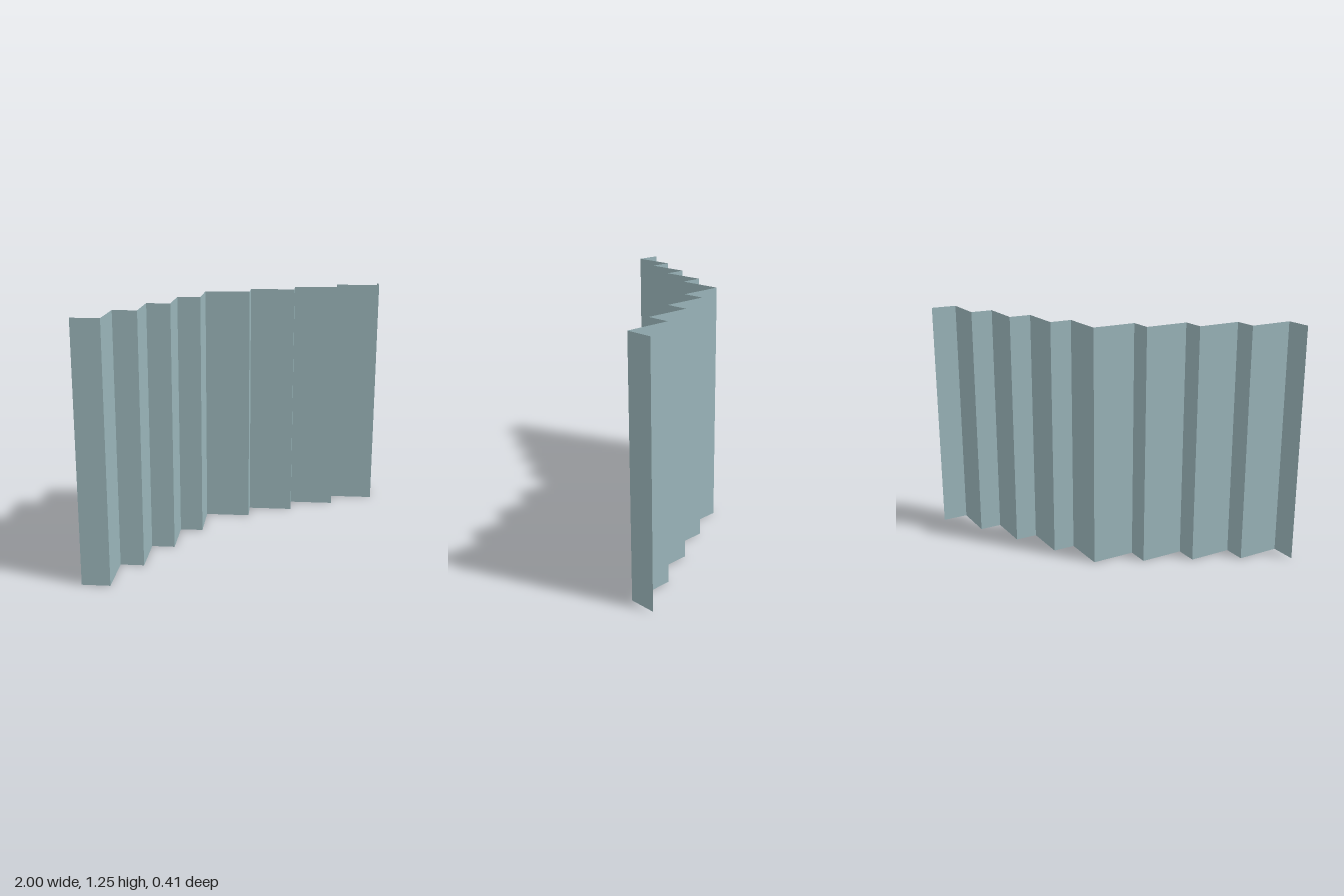
import * as THREE from 'three';

const HEIGHT = 1.25;
const FOLD = 0.0822; // short fold depth; long folds are twice this
const END = 1 - 11 * FOLD; // narrow outer strip

// Plan of one half as [x, z]: 45 degree folds stepping forward from the centre crease
function halfPlan() {
  const points = [[0, -2.5 * FOLD]];
  const fold = (length, dir) => {
    const [x, z] = points[points.length - 1];
    points.push([x + length, z + dir * length]);
  };
  for (let i = 0; i < 4; i++) {
    fold(2 * FOLD, 1);
    fold(i < 3 ? FOLD : END, -1);
  }
  return points;
}

export function createModel() {
  const group = new THREE.Group();
  group.name = 'foldedScreen';

  // Full plan, mirrored about the centre crease
  const half = halfPlan();
  const plan = [...half.slice(1).reverse().map(([x, z]) => [-x, z]), ...half];

  // Flat sheet whose vertical edges are moved onto the fold lines
  const folds = plan.length - 1;
  const sheet = new THREE.PlaneGeometry(2, HEIGHT, folds, 1);
  const pos = sheet.attributes.position;
  for (let i = 0; i < pos.count; i++) {
    const [x, z] = plan[i % plan.length];
    pos.setXYZ(i, x, pos.getY(i) + HEIGHT / 2, z);
  }
  const geometry = sheet.toNonIndexed();
  geometry.computeVertexNormals();

  const material = new THREE.MeshStandardMaterial({ color: 0x9ab5ba, side: THREE.DoubleSide });
  const mesh = new THREE.Mesh(geometry, material);
  mesh.name = 'pleatedSheet';
  group.add(mesh);
  return group;
}
